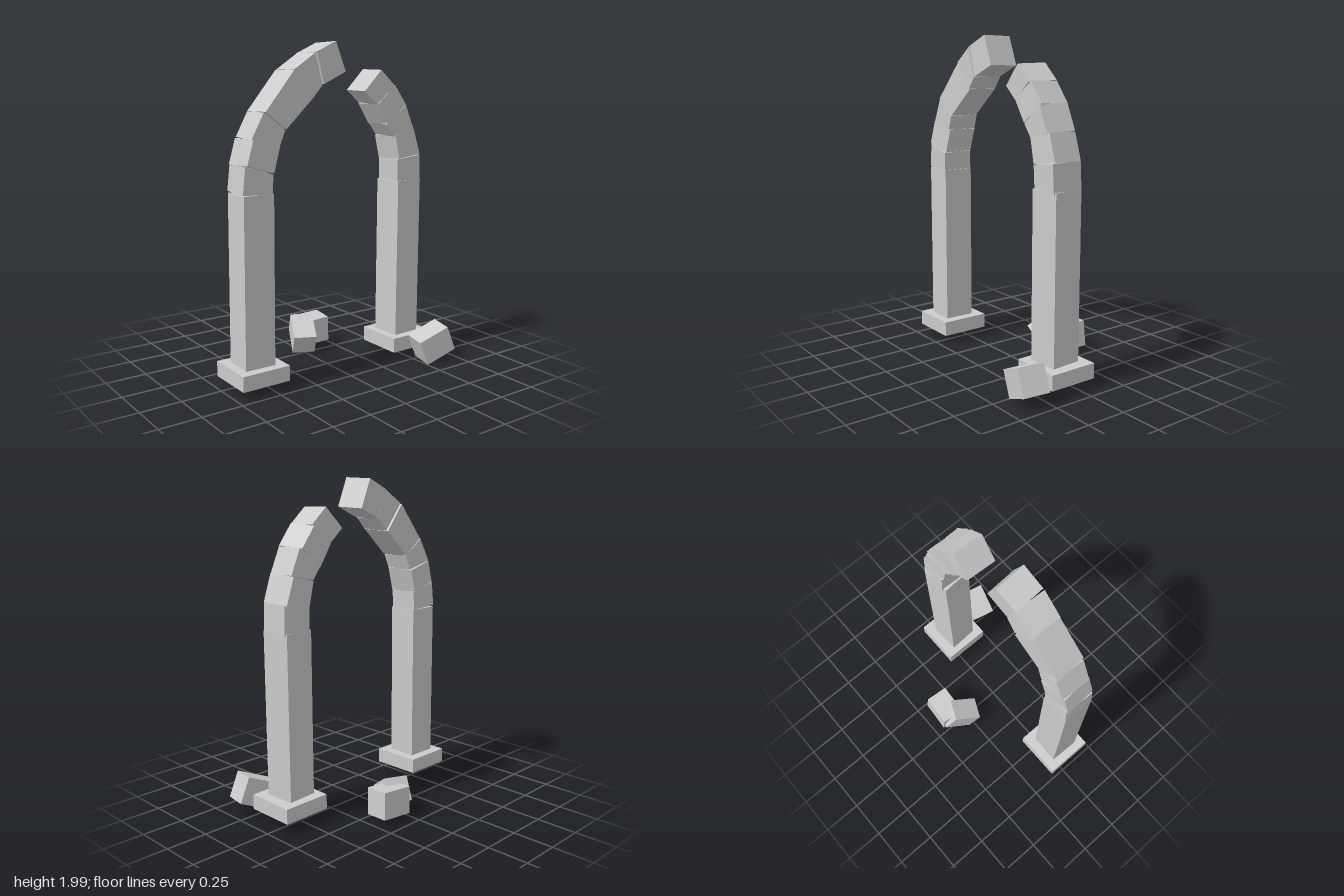
import * as THREE from 'three';

const DEPTH = 0.19, MID_Z = 0.068;
const stone = new THREE.MeshStandardMaterial({ color: 0xcccccc, flatShading: true });

function block(name, size, position, rotation = [0, 0, 0]) {
  const mesh = new THREE.Mesh(new THREE.BoxGeometry(...size), stone);
  mesh.name = name;
  mesh.position.set(...position);
  mesh.rotation.set(...rotation, 'YXZ');
  return mesh;
}

// Wedge-shaped arch stone from four front corners, turned slightly about its own centre
function archStone(name, corners, tiltX, tiltY) {
  const pts = corners.map(([x, y]) => new THREE.Vector2(x, y));
  const centre = pts.reduce((sum, p) => sum.add(p), new THREE.Vector2()).divideScalar(4);
  const shape = new THREE.Shape(pts.map((p) => p.clone().sub(centre)));
  const geometry = new THREE.ExtrudeGeometry(shape, { depth: DEPTH, bevelEnabled: false });
  geometry.translate(0, 0, -DEPTH / 2);
  const mesh = new THREE.Mesh(geometry, stone);
  mesh.name = name;
  mesh.position.set(centre.x, centre.y, MID_Z);
  mesh.rotation.set(tiltX, tiltY, 0);
  return mesh;
}

// Each joint: outer x, outer y, inner x, inner y; stones sit between neighbouring joints
const rightJoints = [
  [-0.67, 1.165, -0.485, 1.155], [-0.655, 1.32, -0.48, 1.27], [-0.61, 1.465, -0.435, 1.42],
  [-0.535, 1.61, -0.4, 1.51], [-0.335, 1.84, -0.21, 1.68], [-0.195, 1.935, -0.145, 1.755],
  [-0.055, 1.997, 0.015, 1.825],
];
const leftJoints = [
  [0.607, 1.145, 0.43, 1.14], [0.6, 1.315, 0.425, 1.293], [0.548, 1.475, 0.394, 1.437],
  [0.482, 1.625, 0.337, 1.513], [0.39, 1.745, 0.257, 1.637], [0.285, 1.84, 0.167, 1.715],
];

function archSide(name, joints) {
  const group = new THREE.Group();
  group.name = name;
  for (let i = 0; i < joints.length - 1; i++) {
    const [ax, ay, bx, by] = joints[i], [cx, cy, dx, dy] = joints[i + 1];
    const sign = i % 2 ? -1 : 1;
    group.add(archStone(`archStone${i + 1}`, [[ax, ay], [bx, by], [dx, dy], [cx, cy]],
      sign * 0.025, -sign * 0.045));
  }
  return group;
}

export function createModel() {
  const model = new THREE.Group();
  model.name = 'ruinedArch';

  // Plinths and pillars
  for (const [side, baseX, pillarX, yaw] of [['right', -0.574, -0.575, -0.03], ['left', 0.519, 0.51, 0.06]]) {
    model.add(block(`${side}Plinth`, [0.308, 0.092, 0.308], [baseX, 0.115, 0.067]));
    model.add(block(`${side}Pillar`, [0.19, 0.998, DEPTH], [pillarX, 0.658, MID_Z], [0, yaw, -0.005]));
  }

  // Broken arch halves
  model.add(archSide('rightArch', rightJoints), archSide('leftArch', leftJoints));

  // Fallen stones
  model.add(block('fallenStoneFront', [0.21, 0.165, 0.158], [0.582, 0.13, 0.33], [0.05, -0.21, 0.39]));
  model.add(block('fallenStoneTilted', [0.145, 0.15, 0.2], [0.012, 0.128, -0.295], [0.56, -0.43, 0]));
  model.add(block('fallenStoneBack', [0.2, 0.165, 0.148], [0.113, 0.127, -0.357], [0.06, -0.07, 0.06]));

  return model;
}
